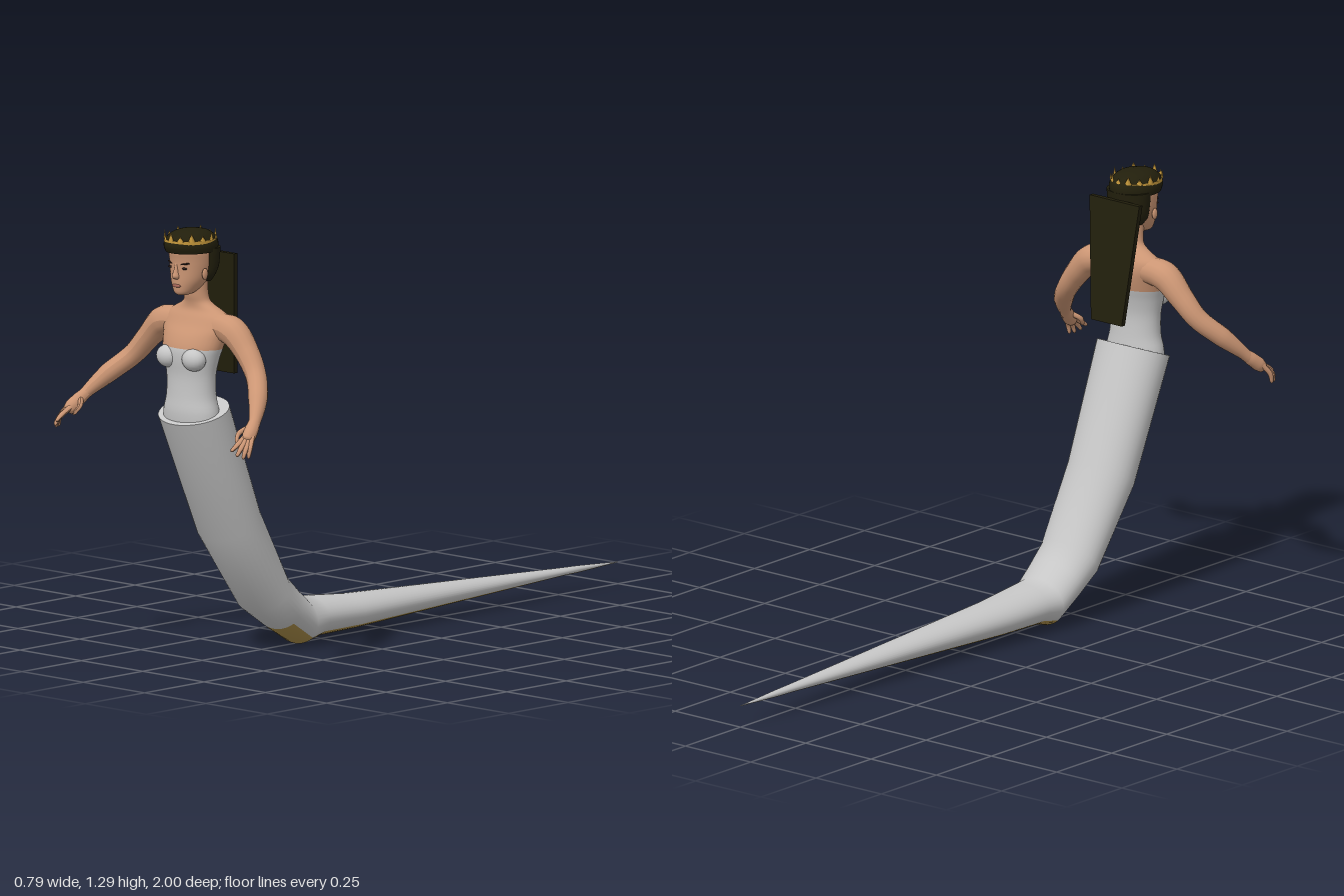
import * as THREE from 'three';

const mat = (name, color, side = THREE.FrontSide) => {
  const m = new THREE.MeshStandardMaterial({ color, side });
  m.name = name;
  return m;
};

// Loft through elliptical rings: [halfWidth, zFront, yFront, zBack, yBack].
// pick(row, seg) returns the material index of a face.
function loft(rows, { seg = 36, steps = 1, pick = () => 0 } = {}) {
  const at = (t) => {
    const i = Math.min(Math.floor(t), rows.length - 2), f = t - i;
    const a = rows[Math.max(i - 1, 0)], b = rows[i], c = rows[i + 1], d = rows[Math.min(i + 2, rows.length - 1)];
    return b.map((_, k) => steps === 1 ? b[k] + (c[k] - b[k]) * f
      : 0.5 * (2 * b[k] + (c[k] - a[k]) * f + (2 * a[k] - 5 * b[k] + 4 * c[k] - d[k]) * f * f
        + (3 * b[k] - a[k] - 3 * c[k] + d[k]) * f * f * f));
  };
  const pos = [], faces = [[], []], n = (rows.length - 1) * steps;
  const ring = ([w, zf, yf, zb, yb]) => {
    for (let j = 0; j < seg; j++) {
      const a = (j / seg) * Math.PI * 2, s = Math.sin(a) / 2;
      pos.push(w * Math.cos(a), (yf + yb) / 2 + (yf - yb) * s, (zf + zb) / 2 + (zf - zb) * s);
    }
  };
  for (let i = 0; i <= n; i++) ring(at(i / steps));
  for (let i = 0; i < n; i++) for (let j = 0; j < seg; j++) {
    const k = (j + 1) % seg, p = i * seg, q = p + seg;
    faces[pick(i, j)].push(p + j, q + j, p + k, q + j, q + k, p + k);
  }
  // end caps on their own vertices, so the rims stay crisp
  [0, n].forEach((i) => {
    const r = at(i / steps), base = pos.length / 3, m = pick(Math.min(i, n - 1), 0);
    ring(r);
    pos.push(0, (r[2] + r[4]) / 2, (r[1] + r[3]) / 2);
    for (let j = 0; j < seg; j++) {
      const k = (j + 1) % seg;
      faces[m].push(base + seg, base + (i ? k : j), base + (i ? j : k));
    }
  });
  const g = new THREE.BufferGeometry();
  g.setAttribute('position', new THREE.Float32BufferAttribute(pos, 3));
  g.setIndex([...faces[0], ...faces[1]]);
  g.addGroup(0, faces[0].length, 0);
  g.addGroup(faces[0].length, faces[1].length, 1);
  g.computeVertexNormals();
  return g;
}
// Level rings: [y, halfWidth, zFront, zBack]
const level = (rows) => rows.map(([y, w, f, b]) => [w, f, y, b, y]);

// Tube along points with a radius for each point, rounded off at the end
function limb(points, radii, seg = 40, sides = 16) {
  const curve = new THREE.CatmullRomCurve3(points.map((p) => new THREE.Vector3(...p)));
  const g = new THREE.TubeGeometry(curve, seg, 1, sides), P = g.attributes.position, v = new THREE.Vector3();
  for (let i = 0; i <= seg; i++) {
    const u = i / seg, c = curve.getPointAt(u), t = curve.getUtoTmapping(u) * (radii.length - 1);
    const k = Math.min(Math.floor(t), radii.length - 2);
    const r = i === seg ? 0.0005 : THREE.MathUtils.lerp(radii[k], radii[k + 1], t - k);
    for (let j = 0; j <= sides; j++) {
      const id = i * (sides + 1) + j;
      v.fromBufferAttribute(P, id).sub(c).multiplyScalar(r).add(c);
      P.setXYZ(id, v.x, v.y, v.z);
    }
  }
  g.computeVertexNormals();
  return g;
}

export function createModel() {
  const root = new THREE.Group();
  root.name = 'serpentWoman';
  const skin = mat('skin', 0xcc9674), white = mat('paleScales', 0xc6c6c6), belly = mat('bellyGold', 0xa98c48);
  const hair = mat('darkHair', 0x221f0c), gold = mat('crownGold', 0xc89a3c, THREE.DoubleSide);
  const dark = mat('eyeDark', 0x2a1c16), lip = mat('lips', 0xa8685a);
  const add = (name, geo, m, parent = root) => {
    const mesh = new THREE.Mesh(geo, m);
    mesh.name = name;
    parent.add(mesh);
    return mesh;
  };
  const blob = (name, m, p, s, parent = root) => {
    const b = add(name, new THREE.SphereGeometry(1, 20, 14), m, parent);
    b.position.set(...p);
    b.scale.set(...s);
    return b;
  };

  // Serpent tail from tip to waist, with a gold underside
  add('tail', loft([
    [0.001, -1, 0.067, -1, 0.069],
    [0.012, -0.83, 0.059, -0.83, 0.079],
    [0.016, -0.77, 0.058, -0.77, 0.081],
    [0.077, 0.14, 0.02, 0.14, 0.123],
    [0.088, 0.3, 0.018, 0.3, 0.138],
    [0.094, 0.36, 0.003, 0.353, 0.144],
    [0.098, 0.45, 0.058, 0.402, 0.188],
    [0.102, 0.54, 0.118, 0.45, 0.235],
    [0.112, 0.71, 0.353, 0.567, 0.45],
    [0.12, 0.87, 0.72, 0.70, 0.785],
  ], { pick: (i, j) => (i < 6 && j >= 4 && j < 14 ? 1 : 0) }), [white, belly]);

  // Torso: strapless bodice below, bare shoulders and neck above
  add('torso', loft(level([
    [0.69, 0.1, 0.85, 0.735],
    [0.75, 0.098, 0.856, 0.732],
    [0.8, 0.086, 0.852, 0.737],
    [0.86, 0.086, 0.85, 0.74],
    [0.91, 0.096, 0.856, 0.732],
    [0.945, 0.106, 0.855, 0.722],
    [0.98, 0.115, 0.842, 0.714],
    [1.01, 0.128, 0.823, 0.712],
    [1.035, 0.122, 0.81, 0.716],
    [1.055, 0.088, 0.8, 0.726],
    [1.075, 0.05, 0.8, 0.738],
    [1.1, 0.04, 0.806, 0.743],
    [1.15, 0.039, 0.812, 0.745],
  ]), { steps: 4, pick: (i) => (i < 20 ? 0 : 1) }), [white, skin]);

  // Head and face
  const head = new THREE.Group();
  head.name = 'head';
  root.add(head);
  add('face', loft(level([
    [1.103, 0.016, 0.848, 0.815],
    [1.11, 0.029, 0.856, 0.79],
    [1.127, 0.042, 0.859, 0.765],
    [1.15, 0.054, 0.86, 0.745],
    [1.18, 0.061, 0.86, 0.73],
    [1.21, 0.064, 0.862, 0.725],
    [1.24, 0.064, 0.866, 0.722],
    [1.27, 0.05, 0.85, 0.74],
  ]), { steps: 3 }), skin, head);
  add('nose', loft(level([
    [1.152, 0.009, 0.864, 0.845],
    [1.16, 0.012, 0.873, 0.845],
    [1.175, 0.008, 0.868, 0.845],
    [1.2, 0.006, 0.861, 0.845],
  ]), { seg: 16, steps: 3 }), skin, head);
  blob('mouth', lip, [0, 1.132, 0.858], [0.018, 0.005, 0.004], head);

  // Hair: crown of the head, back of the head and the long hanging sheet
  add('hairCap', loft(level([
    [1.23, 0.071, 0.876, 0.711],
    [1.25, 0.073, 0.884, 0.709],
    [1.27, 0.066, 0.877, 0.716],
    [1.288, 0.046, 0.852, 0.742],
    [1.297, 0.012, 0.81, 0.785],
  ]), { steps: 4 }), hair, head);
  add('hairBack', loft(level([
    [1.14, 0.048, 0.785, 0.747],
    [1.16, 0.062, 0.805, 0.73],
    [1.19, 0.069, 0.813, 0.715],
    [1.24, 0.072, 0.82, 0.709],
  ]), { steps: 3 }), hair, head);
  const sheet = new THREE.BoxGeometry(0.19, 0.365, 0.015), S = sheet.attributes.position;
  for (let i = 0; i < S.count; i++) {
    const low = S.getY(i) < 0;
    S.setXYZ(i, S.getX(i) * (low ? 0.62 : 1), S.getY(i) + 1.037, S.getZ(i) + (low ? 0.669 : 0.706));
  }
  sheet.computeVertexNormals();
  add('hairSheet', sheet, hair, head);

  // Crown: elliptical band with points
  const crown = new THREE.Group();
  crown.name = 'crown';
  crown.position.set(0, 1.262, 0.799);
  head.add(crown);
  const band = add('crownBand', new THREE.CylinderGeometry(1, 1, 0.014, 48, 1, true), gold, crown);
  band.scale.set(0.071, 1, 0.083);
  for (let i = 0; i < 14; i++) {
    const a = (i / 14) * Math.PI * 2, tall = i % 2 ? 0.016 : 0.026;
    const spike = add('crownPoint', new THREE.ConeGeometry(0.011, tall, 4), gold, crown);
    spike.position.set(0.07 * Math.sin(a), 0.005 + tall / 2, 0.082 * Math.cos(a));
    spike.scale.z = 0.35;
    spike.rotation.y = a;
  }

  // Paired parts
  for (const s of [1, -1]) {
    const side = s > 0 ? 'left' : 'right';
    const path = (pts) => pts.map(([x, y, z]) => [s * x, y, z]);
    blob(side + 'Ear', skin, [s * 0.065, 1.168, 0.805], [0.006, 0.017, 0.011], head);
    blob(side + 'Eye', dark, [s * 0.027, 1.185, 0.853], [0.011, 0.0035, 0.004], head);
    const brow = blob(side + 'Brow', dark, [s * 0.03, 1.199, 0.852], [0.016, 0.0025, 0.004], head);
    brow.rotation.set(0, s * 0.35, s * 0.15);
    blob(side + 'Bust', white, [s * 0.052, 0.915, 0.838], [0.04, 0.034, 0.031]);

    const arm = new THREE.Group();
    arm.name = side + 'Arm';
    root.add(arm);
    add('armLimb', limb(path([
      [0.07, 1.01, 0.763], [0.14, 1.0, 0.764], [0.2, 0.945, 0.767], [0.25, 0.887, 0.782],
      [0.305, 0.83, 0.83], [0.342, 0.778, 0.88], [0.354, 0.752, 0.905],
    ]), [0.04, 0.044, 0.036, 0.031, 0.029, 0.018, 0.017]), skin, arm);
    add('palm', limb(path([
      [0.34, 0.78, 0.878], [0.352, 0.758, 0.902], [0.361, 0.738, 0.925], [0.366, 0.722, 0.942],
    ]), [0.016, 0.02, 0.021, 0.015], 16), skin, arm);
    // fingers: root, knuckle, tip
    [
      [[0.374, 0.738, 0.925], [0.387, 0.708, 0.947], [0.387, 0.677, 0.955]],
      [[0.37, 0.733, 0.933], [0.381, 0.703, 0.96], [0.381, 0.677, 0.972]],
      [[0.362, 0.733, 0.937], [0.371, 0.706, 0.971], [0.37, 0.685, 0.988]],
      [[0.355, 0.736, 0.938], [0.358, 0.715, 0.975], [0.356, 0.7, 0.997]],
      [[0.345, 0.762, 0.905], [0.324, 0.742, 0.93], [0.333, 0.717, 0.95]],
    ].forEach((p, i) => add(i < 4 ? 'finger' : 'thumb',
      limb(path(p), [0.0085, 0.0075, 0.005], 12, 8), skin, arm));
  }
  return root;
}
